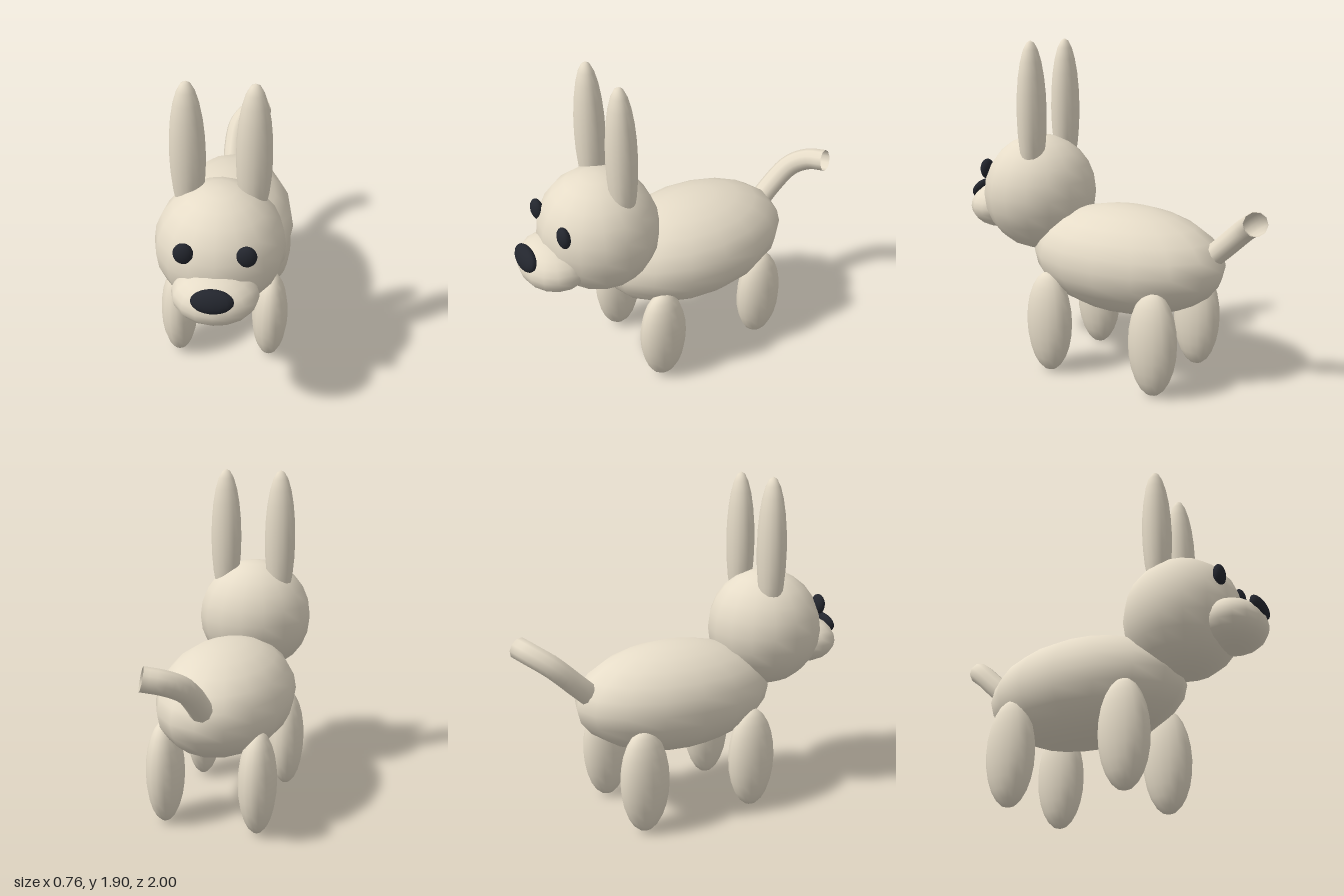
import * as THREE from 'three';

export function createModel() {
  const model = new THREE.Group();
  const cream = new THREE.MeshStandardMaterial({ color: 0xe6dcc8 });
  const dark = new THREE.MeshStandardMaterial({ color: 0x23262e });
  const tailMaterial = cream.clone();
  tailMaterial.side = THREE.DoubleSide;
  const ball = new THREE.SphereGeometry(1, 16, 12);

  // Every rounded part is a stretched ball
  function ellipsoid(name, material, centre, radii, tilt = 0) {
    const mesh = new THREE.Mesh(ball, material);
    mesh.name = name;
    mesh.position.set(...centre);
    mesh.scale.set(...radii);
    mesh.rotation.x = tilt;
    model.add(mesh);
  }

  ellipsoid('body', cream, [0, 0.675, -0.09], [0.38, 0.31, 0.6]);
  ellipsoid('head', cream, [0, 1, 0.52], [0.345, 0.345, 0.335]);
  ellipsoid('muzzle', cream, [0, 0.89, 0.8], [0.225, 0.14, 0.19]);
  ellipsoid('nose', dark, [0, 0.97, 0.957], [0.108, 0.064, 0.037], -0.35);

  // Paired parts
  for (const [side, s] of [['left', 1], ['right', -1]]) {
    ellipsoid(side + 'Eye', dark, [s * 0.157, 1.133, 0.8], [0.052, 0.06, 0.032]);
    ellipsoid(side + 'Ear', cream, [s * 0.168, 1.49, 0.45], [0.093, 0.41, 0.082]);
    ellipsoid(side + 'FrontLeg', cream, [s * 0.267, 0.3, 0.277], [0.105, 0.3, 0.142]);
    ellipsoid(side + 'BackLeg', cream, [s * 0.267, 0.3, -0.41], [0.105, 0.3, 0.142]);
  }

  // Open tail that rises backwards and curls to the left
  const path = new THREE.CatmullRomCurve3([
    [-0.015, 0.71, -0.57], [-0.022, 0.82, -0.69], [0.003, 0.94, -0.82],
    [0.075, 0.995, -0.9], [0.175, 1.02, -0.945],
  ].map((p) => new THREE.Vector3(...p)));
  const tail = new THREE.Mesh(new THREE.TubeGeometry(path, 16, 0.064, 10), tailMaterial);
  tail.name = 'tail';
  model.add(tail);

  return model;
}
